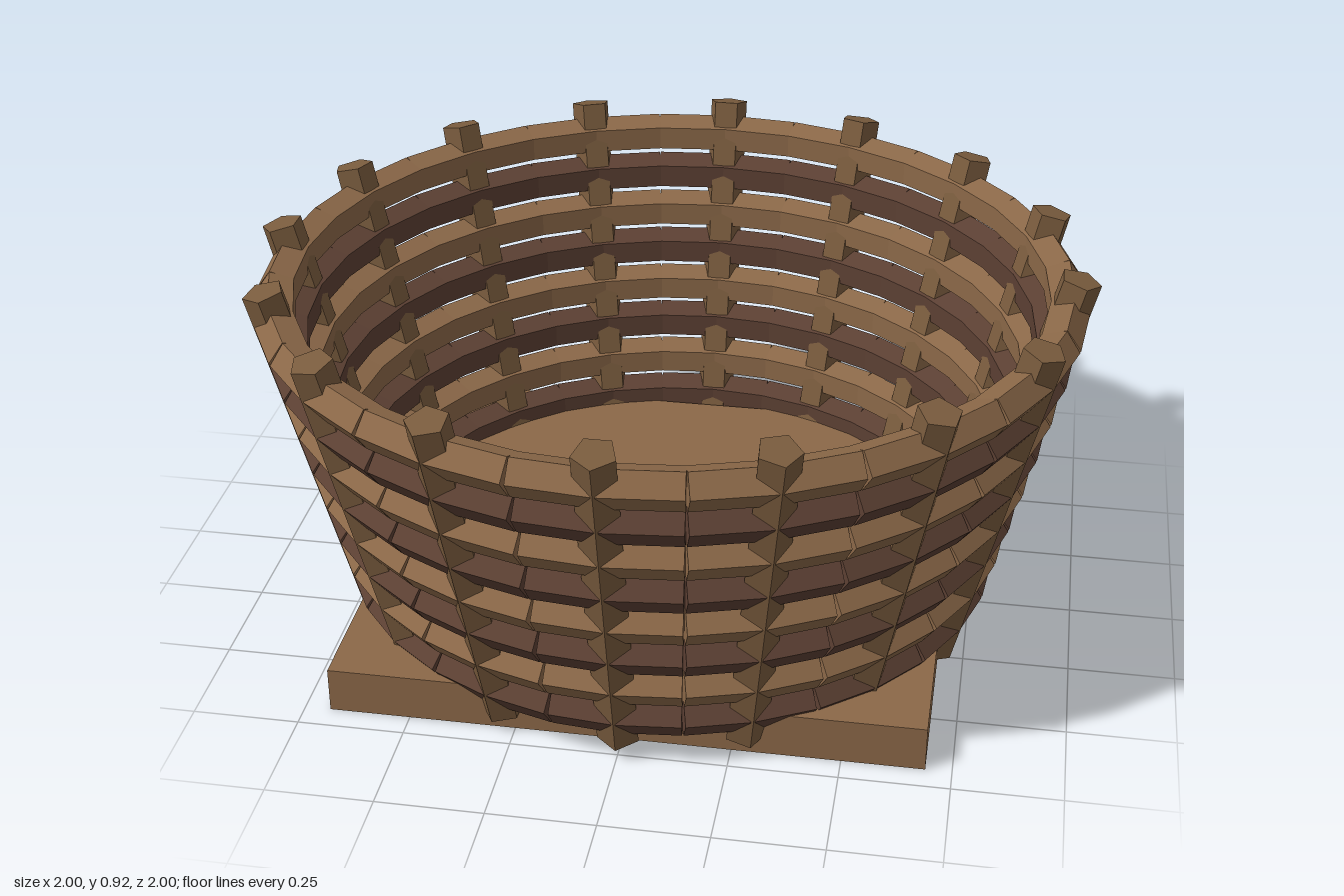
import * as THREE from 'three';

const STAKES = 16, SEGMENTS = 32, ROWS = 8, ROD = 0.05;
const BOTTOM = { r: 0.73, y: 0.045 }, TOP = { r: 0.95, y: 0.907 };

const wood = (color) => new THREE.MeshStandardMaterial({ color, flatShading: true });

// radius of the flaring wall at a given height
const wallRadius = (y) =>
  THREE.MathUtils.mapLinear(y, BOTTOM.y, TOP.y, BOTTOM.r, TOP.r);

// copies of one rod turned around the vertical axis
function ring(name, geometry, material, count, offset) {
  const group = new THREE.Group();
  group.name = name;
  for (let i = 0; i < count; i++) {
    const mesh = new THREE.Mesh(geometry, material);
    mesh.name = name + 'Piece';
    mesh.rotation.y = ((i + offset) / count) * Math.PI * 2;
    group.add(mesh);
  }
  return group;
}

export function createModel() {
  const basket = new THREE.Group();
  basket.name = 'basket';
  const light = wood(0x8b6848), dark = wood(0x5c4033), stakeWood = wood(0x7a5c3e);

  // square base board
  const base = new THREE.Mesh(new THREE.BoxGeometry(1.38, 0.11, 1.38), light);
  base.name = 'base';
  base.position.y = 0.055;
  basket.add(base);

  // outward leaning five-sided stakes, one edge facing out
  const rise = TOP.y - BOTTOM.y, run = TOP.r - BOTTOM.r;
  const stake = new THREE.CylinderGeometry(ROD, ROD, Math.hypot(rise, run), 5);
  stake.rotateX(Math.atan2(run, rise));
  stake.translate(0, (TOP.y + BOTTOM.y) / 2, (TOP.r + BOTTOM.r) / 2);
  basket.add(ring('stakes', stake, stakeWood, STAKES, 0));

  // woven rows of short straight rods, alternating dark and light
  const half = Math.PI / SEGMENTS;
  for (let row = 0; row < ROWS; row++) {
    const y = 0.12 + row * 0.1;
    const r = wallRadius(y);
    const rod = new THREE.CylinderGeometry(ROD, ROD, 2 * r * Math.sin(half), 5);
    rod.rotateZ(Math.PI / 2);
    rod.translate(0, y, r * Math.cos(half));
    basket.add(ring('wovenRow' + (row + 1), rod, row % 2 ? light : dark, SEGMENTS, 0.5));
  }
  return basket;
}
